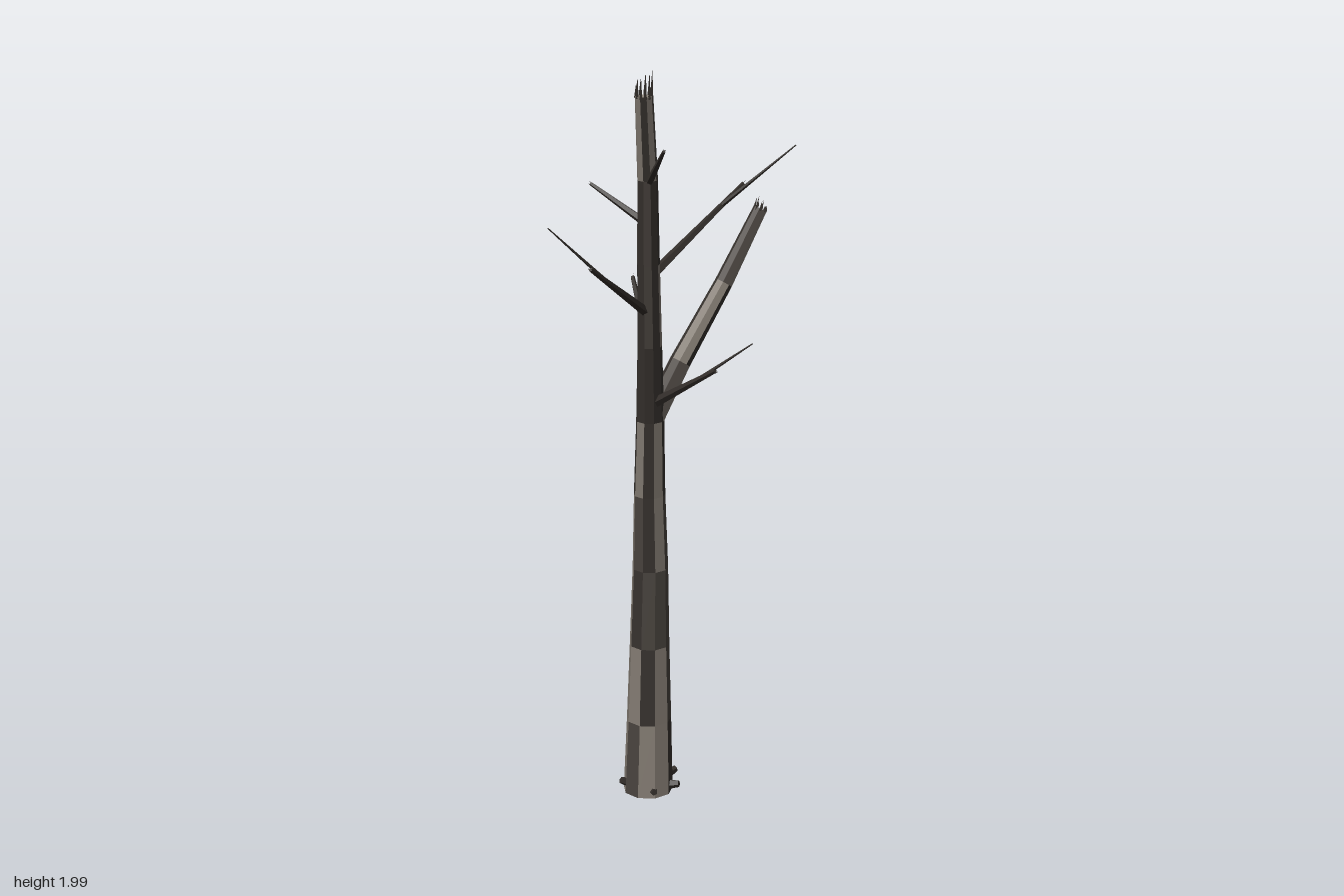
import * as THREE from 'three';

const V = (a) => new THREE.Vector3(a[0], a[1], a[2]);

// Seeded random for the bark patches and splinters
let seed = 11;
const rand = () => {
  seed = (seed * 16807) % 2147483647;
  return seed / 2147483647;
};

const mat = (color, side = THREE.FrontSide) => {
  const m = new THREE.MeshStandardMaterial({ flatShading: true, side });
  m.color.set(color);
  return m;
};
const BARK = [mat(0x857d74), mat(0x4a443f), mat(0x38332f)];
const DARK = [mat(0x332e2a)];
const WOOD = mat(0x8c857b);
const HOLLOW = mat(0x1f1b18);
const EMBER = mat(0xa04a18);
const SHARD = mat(0x38332f, THREE.DoubleSide);

function addMesh(parent, name, geometry, material) {
  const mesh = new THREE.Mesh(geometry, material);
  mesh.name = name;
  parent.add(mesh);
  return mesh;
}

// Two directions across a limb
function crossFrame(dir) {
  const u = new THREE.Vector3(0, 0, 1).cross(dir);
  if (u.lengthSq() < 0.01) u.set(1, 0, 0);
  u.normalize();
  return [u, dir.clone().cross(u).normalize()];
}

// Tapered limb along rows of [x, y, z, radius]; each face takes one bark tone
function limb(name, rows, sides, tones, axis) {
  const group = new THREE.Group();
  group.name = name;
  const first = V(rows[0]), last = V(rows[rows.length - 1]);
  const dir = axis ? V(axis) : last.clone().sub(first).normalize();
  const [u, w] = crossFrame(dir);
  const rim = (r, i) => {
    const a = ((i % sides) / sides) * Math.PI * 2 + 0.3;
    return V(r).addScaledVector(u, Math.cos(a) * r[3]).addScaledVector(w, Math.sin(a) * r[3]);
  };
  const faces = tones.map(() => []);
  for (let s = 0; s < rows.length - 1; s++) {
    for (let i = 0; i < sides; i++) {
      const a = rim(rows[s], i), b = rim(rows[s], i + 1);
      const c = rim(rows[s + 1], i + 1), d = rim(rows[s + 1], i);
      faces[Math.floor(rand() * tones.length)].push(a, b, c, a, c, d);
    }
  }
  // Closed ends
  const caps = [];
  for (let i = 0; i < sides; i++) {
    const end = rows[rows.length - 1];
    caps.push(first, rim(rows[0], i + 1), rim(rows[0], i), last, rim(end, i), rim(end, i + 1));
  }
  const build = (pts) => {
    const g = new THREE.BufferGeometry().setFromPoints(pts);
    g.computeVertexNormals();
    return g;
  };
  faces.forEach((pts, t) => pts.length && addMesh(group, 'bark', build(pts), tones[t]));
  addMesh(group, 'brokenEnd', build(caps), tones.length > 1 ? WOOD : tones[0]);
  return group;
}

// Thin pyramid from a base point to a tip
function spike(parent, name, base, tip, radius, material) {
  const d = tip.clone().sub(base);
  const g = new THREE.ConeGeometry(radius, d.length(), 4);
  const m = addMesh(parent, name, g, material);
  m.position.copy(base).addScaledVector(d, 0.5);
  m.quaternion.setFromUnitVectors(new THREE.Vector3(0, 1, 0), d.normalize());
}

// Ring of splinters around a snapped end
function splinters(parent, end, dir, count, length) {
  const [u, w] = crossFrame(dir);
  for (let i = 0; i < count; i++) {
    const a = (i / count) * Math.PI * 2;
    const base = V(end)
      .addScaledVector(u, Math.cos(a) * end[3] * 0.86)
      .addScaledVector(w, Math.sin(a) * end[3] * 0.86)
      .addScaledVector(dir, -0.004);
    const tip = base.clone().addScaledVector(dir, length * (0.4 + 0.6 * rand()));
    spike(parent, 'splinter', base, tip, end[3] * 0.2, DARK[0]);
  }
}

export function createModel() {
  const tree = new THREE.Group();
  tree.name = 'deadTree';

  // Leaning trunk
  const trunkRows = [
    [-0.125, 0, -0.125, 0.067], [-0.12, 0.21, -0.122, 0.06], [-0.113, 0.43, -0.114, 0.053],
    [-0.104, 0.65, -0.104, 0.047], [-0.092, 0.86, -0.081, 0.041], [-0.073, 1.07, -0.053, 0.036],
    [-0.045, 1.28, -0.005, 0.031], [-0.02, 1.5, 0.042, 0.028], [0.008, 1.72, 0.092, 0.025],
    [0.031, 1.93, 0.146, 0.022],
  ];
  const trunk = limb('trunk', trunkRows, 9, BARK, [0, 1, 0]);
  splinters(trunk, trunkRows[9], V([0.08, 1, 0.08]).normalize(), 11, 0.066);
  tree.add(trunk);

  // Heavy snapped fork
  const forkRows = [
    [-0.07, 1.07, -0.055, 0.03], [-0.03, 1.21, -0.13, 0.027],
    [0.035, 1.4, -0.235, 0.023], [0.082, 1.575, -0.336, 0.018],
  ];
  const fork = limb('fork', forkRows, 8, BARK);
  splinters(fork, forkRows[3], V([0.1, 1, -0.3]).normalize(), 9, 0.04);
  tree.add(fork);

  // Slim branches: start, tip, base radius, then twig start and tip
  const branches = [
    [[-0.018, 1.47, 0.025], [0.078, 1.655, -0.255], 0.013, [0.055, 1.61, -0.185], [0.208, 1.76, -0.285]],
    [[-0.055, 1.12, -0.035], [0.145, 1.245, 0.003], 0.014, [0.06, 1.19, -0.015], [0.225, 1.315, -0.04]],
    [[-0.05, 1.23, -0.025], [-0.215, 1.39, -0.205], 0.014, [-0.165, 1.34, -0.15], [-0.215, 1.475, -0.288]],
    [[-0.035, 1.37, 0.02], [-0.026, 1.54, 0.295], 0.013, [-0.034, 1.46, 0.165], [-0.107, 1.64, 0.35]],
    [[-0.002, 1.6, 0.062], [-0.175, 1.685, 0.056], 0.011],
    [[0.012, 1.71, 0.095], [0.112, 1.815, 0.192], 0.01],
  ];
  for (const [from, to, r, twigFrom, twigTo] of branches) {
    const a = V(from), b = V(to);
    const mid = a.clone().lerp(b, 0.5);
    const rows = [[...from, r], [mid.x, mid.y, mid.z, r * 0.7], [...to, r * 0.4]];
    const branch = limb('branch', rows, 5, DARK);
    splinters(branch, rows[2], b.clone().sub(a).normalize(), 4, 0.016);
    if (twigFrom) branch.add(limb('twig', [[...twigFrom, 0.006], [...twigTo, 0.0015]], 4, DARK));
    tree.add(branch);
  }

  // Root stubs at the foot
  const roots = [
    [-0.09, 0.03, -0.213], [-0.202, 0.04, -0.17], [-0.175, 0.035, -0.067],
    [-0.04, 0.025, -0.145], [-0.075, 0.02, -0.075],
  ];
  for (const tip of roots) {
    const from = V([-0.125, 0.012, -0.125]).lerp(V(tip), 0.45);
    tree.add(limb('root', [[from.x, 0.018, from.z, 0.017], [...tip, 0.009]], 5, DARK));
  }

  // Split in the bark with a glowing core, on the back corner
  const split = new THREE.Group();
  split.name = 'barkSplit';
  addMesh(split, 'hollow', new THREE.BoxGeometry(0.034, 0.22, 0.006), HOLLOW);
  const core = addMesh(split, 'core', new THREE.BoxGeometry(0.007, 0.15, 0.006), EMBER);
  core.position.set(-0.003, -0.02, 0.003);
  split.position.set(-0.152, 0.32, -0.164);
  split.rotation.set(0, Math.PI + 0.65, 0);
  tree.add(split);

  // Loose bark shards standing above the split
  for (const [x, z, y0, y1] of [[-0.146, -0.152, 0.4, 0.66], [-0.136, -0.16, 0.4, 0.6], [-0.155, -0.142, 0.42, 0.56]]) {
    spike(tree, 'barkShard', V([x, y0, z]), V([x - 0.002, y1, z - 0.004]), 0.006, SHARD);
  }
  return tree;
}
